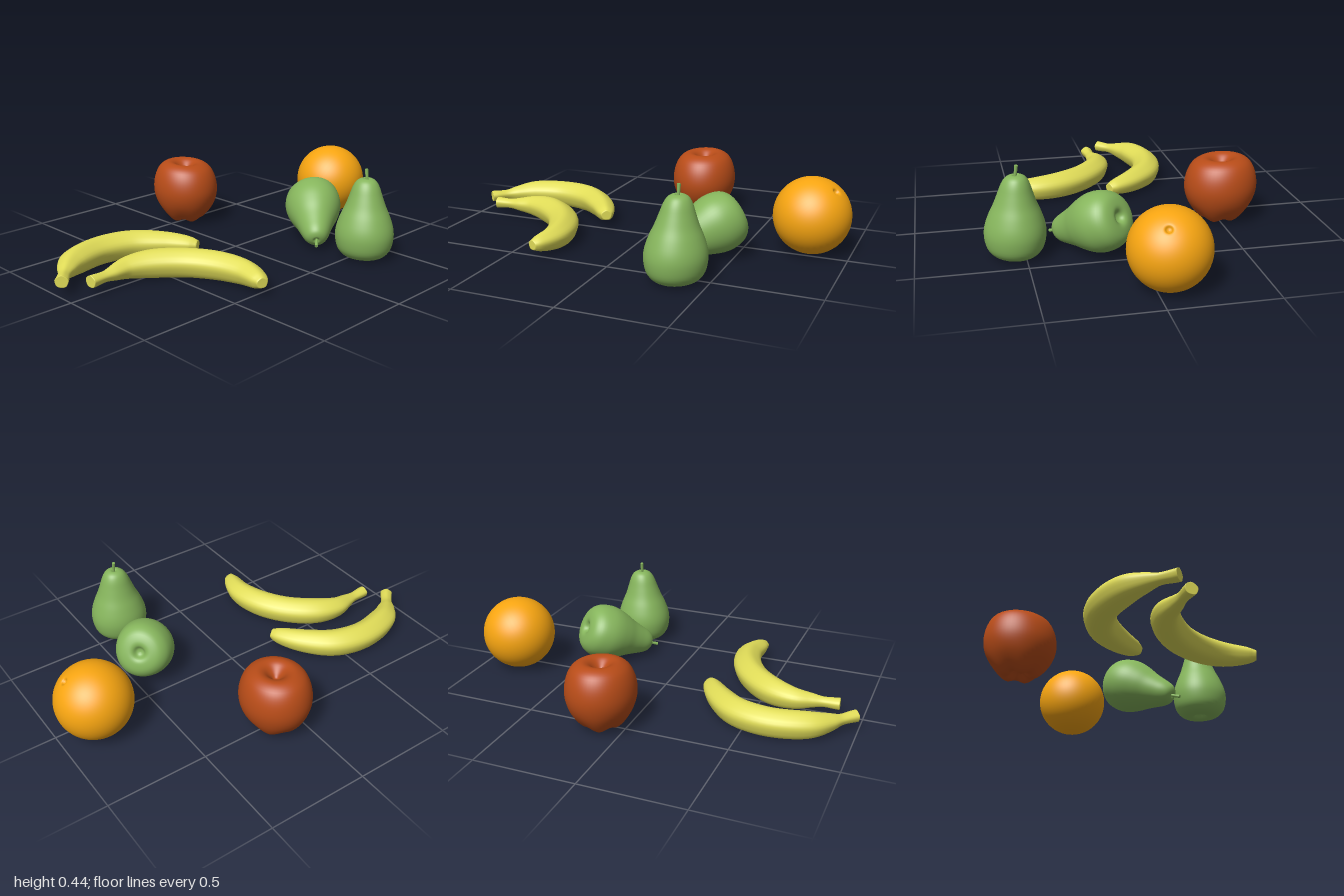
import * as THREE from 'three';
import { mergeVertices } from 'three/addons/utils/BufferGeometryUtils.js';

const material = (color) => new THREE.MeshStandardMaterial({ color });
const green = material(0x86b55c), yellow = material(0xe0dc58);
const red = material(0xb84c18), orange = material(0xf7a511);

function mesh(name, geometry, mat) {
  const m = new THREE.Mesh(geometry, mat);
  m.name = name;
  return m;
}

// Smooth body of revolution from [radius, height] points (bottom to top), with an optional warp
function fruitBody(profile, warp) {
  const curve = new THREE.SplineCurve(profile.map(([r, y]) => new THREE.Vector2(r, y)));
  const points = curve.getPoints(56);
  points.forEach((p) => { p.x = Math.max(p.x, 0); });
  let geo = new THREE.LatheGeometry(points, 56);
  const pos = geo.attributes.position, v = new THREE.Vector3();
  for (let i = 0; warp && i < pos.count; i++) {
    warp(v.fromBufferAttribute(pos, i));
    pos.setXYZ(i, v.x, v.y, v.z);
  }
  geo.deleteAttribute('normal');
  geo.deleteAttribute('uv');
  geo = mergeVertices(geo, 1e-5);
  geo.computeVertexNormals();
  return geo;
}

// Pear with its origin at the blunt end and the stem along +y
function pear(name) {
  const g = new THREE.Group();
  g.name = name;
  const profile = [
    [0, 0.035], [0.018, 0.03], [0.035, 0.012], [0.06, 0.008], [0.1, 0.02], [0.13, 0.055],
    [0.142, 0.11], [0.138, 0.16], [0.12, 0.215], [0.098, 0.265], [0.08, 0.315],
    [0.064, 0.36], [0.046, 0.388], [0.022, 0.4], [0.008, 0.395], [0, 0.39],
  ];
  g.add(mesh('pearBody', fruitBody(profile, (v) => {
    const a = Math.atan2(v.z, v.x), k = 1 + 0.015 * Math.cos(3 * a + 1);
    v.x = v.x * k + 0.06 * v.y * v.y;
    v.z = v.z * k - 0.06 * v.y * v.y;
  }), green));
  // Stem with a wider tip
  const stem = mesh('pearStem', new THREE.CylinderGeometry(0.0085, 0.0065, 0.065, 12), green);
  stem.position.set(0.01, 0.413, -0.01);
  stem.rotation.x = -0.12;
  g.add(stem);
  return g;
}

// Banana swept along [x, z, radius] stations, with softly ridged sides
function banana(name, stations) {
  const curve = new THREE.CatmullRomCurve3(
    stations.map(([x, z, r]) => new THREE.Vector3(x, r, z)), false, 'centripetal');
  const rings = 56, sides = 30, verts = [], index = [];
  const addRing = (t, scale) => {
    const c = curve.getPoint(t), d = curve.getTangent(t);
    const side = new THREE.Vector2(-d.z, d.x).normalize();
    for (let j = 0; j < sides; j++) {
      const a = (j / sides) * Math.PI * 2;
      const r = c.y * scale * (1 + 0.035 * Math.cos(5 * (a - 0.3)));
      const s = Math.cos(a) * r;
      verts.push(c.x + side.x * s, 0.07 + Math.sin(a) * r * 0.92, c.z + side.y * s);
    }
  };
  // Closed ends come from rings that shrink to a point
  [0, 0.5, 0.9].forEach((s) => addRing(0, s));
  for (let i = 0; i <= rings; i++) addRing(i / rings, 1);
  [0.85, 0.45, 0].forEach((s) => addRing(1, s));
  const count = verts.length / 3 / sides;
  for (let i = 0; i < count - 1; i++) {
    for (let j = 0; j < sides; j++) {
      const k = (j + 1) % sides;
      const a = i * sides + j, b = i * sides + k, c = a + sides, d = b + sides;
      index.push(a, b, c, b, d, c);
    }
  }
  const geo = new THREE.BufferGeometry();
  geo.setAttribute('position', new THREE.Float32BufferAttribute(verts, 3));
  geo.setIndex(index);
  // Turn the faces outward if the enclosed volume is negative
  let volume = 0;
  const p = (i) => new THREE.Vector3().fromArray(verts, i * 3);
  for (let i = 0; i < index.length; i += 3) {
    volume += p(index[i]).dot(p(index[i + 1]).cross(p(index[i + 2])));
  }
  if (volume < 0) geo.setIndex(index.reverse());
  geo.computeVertexNormals();
  return mesh(name, geo, yellow);
}

export function createModel() {
  const model = new THREE.Group();
  model.name = 'fruitSet';
  const up = new THREE.Vector3(0, 1, 0);

  // Apple with dimples at both ends and five lobes underneath
  const apple = mesh('apple', fruitBody([
    [0, 0.05], [0.025, 0.035], [0.055, 0.01], [0.085, 0.015], [0.12, 0.05], [0.155, 0.11],
    [0.172, 0.18], [0.164, 0.25], [0.137, 0.305], [0.095, 0.331], [0.06, 0.326],
    [0.03, 0.3], [0.012, 0.28], [0, 0.276],
  ], (v) => {
    const a = Math.atan2(v.z, v.x), r = Math.hypot(v.x, v.z);
    const low = Math.max(0, 1 - v.y / 0.15);
    v.y += low * 0.008 * (1 + Math.cos(5 * a)) * Math.min(1, r / 0.05);
    v.y -= 0.05 * v.z * (v.y / 0.33);
    v.x *= 0.96;
    v.z *= 1.05;
  }), red);
  apple.position.set(0.115, 0, -0.508);
  model.add(apple);

  // Orange: a sphere with a small pit, tipped over
  const R = 0.185, profile = [];
  for (let i = 0; i <= 18; i++) {
    const a = -Math.PI / 2 + (i / 18) * (Math.PI - 0.17);
    profile.push([R * Math.cos(a), R * Math.sin(a)]);
  }
  profile.push([0.018, 0.181], [0.011, 0.172], [0, 0.168]);
  const fruit = mesh('orange', fruitBody(profile), orange);
  fruit.position.set(0.812, 0.19, -0.058);
  fruit.quaternion.setFromUnitVectors(up, new THREE.Vector3(0.1, 0.12, 0.033).normalize());
  model.add(fruit);

  // Standing pear and lying pear
  const standing = pear('standingPear');
  standing.position.set(0.35, 0, 0.542);
  const lying = pear('lyingPear');
  lying.position.set(0.495, 0.218, 0.078);
  lying.quaternion.setFromUnitVectors(up, new THREE.Vector3(-0.648, -0.41, 0.637).normalize());
  model.add(standing, lying);

  // Two bananas lying flat, from stem to tip
  model.add(banana('backBanana', [
    [-0.982, -0.093, 0.031], [-0.965, -0.11, 0.03], [-0.925, -0.155, 0.028], [-0.88, -0.2, 0.045],
    [-0.8, -0.258, 0.066], [-0.63, -0.298, 0.072], [-0.465, -0.262, 0.072],
    [-0.34, -0.155, 0.062], [-0.265, -0.05, 0.043], [-0.245, -0.016, 0.027],
  ]));
  model.add(banana('frontBanana', [
    [-0.89, -0.005, 0.031], [-0.87, -0.007, 0.03], [-0.81, -0.012, 0.027], [-0.755, -0.018, 0.038],
    [-0.67, -0.027, 0.056], [-0.56, 0.01, 0.071], [-0.435, 0.115, 0.073], [-0.355, 0.25, 0.071],
    [-0.328, 0.385, 0.062], [-0.352, 0.5, 0.042], [-0.366, 0.535, 0.026],
  ]));
  return model;
}
